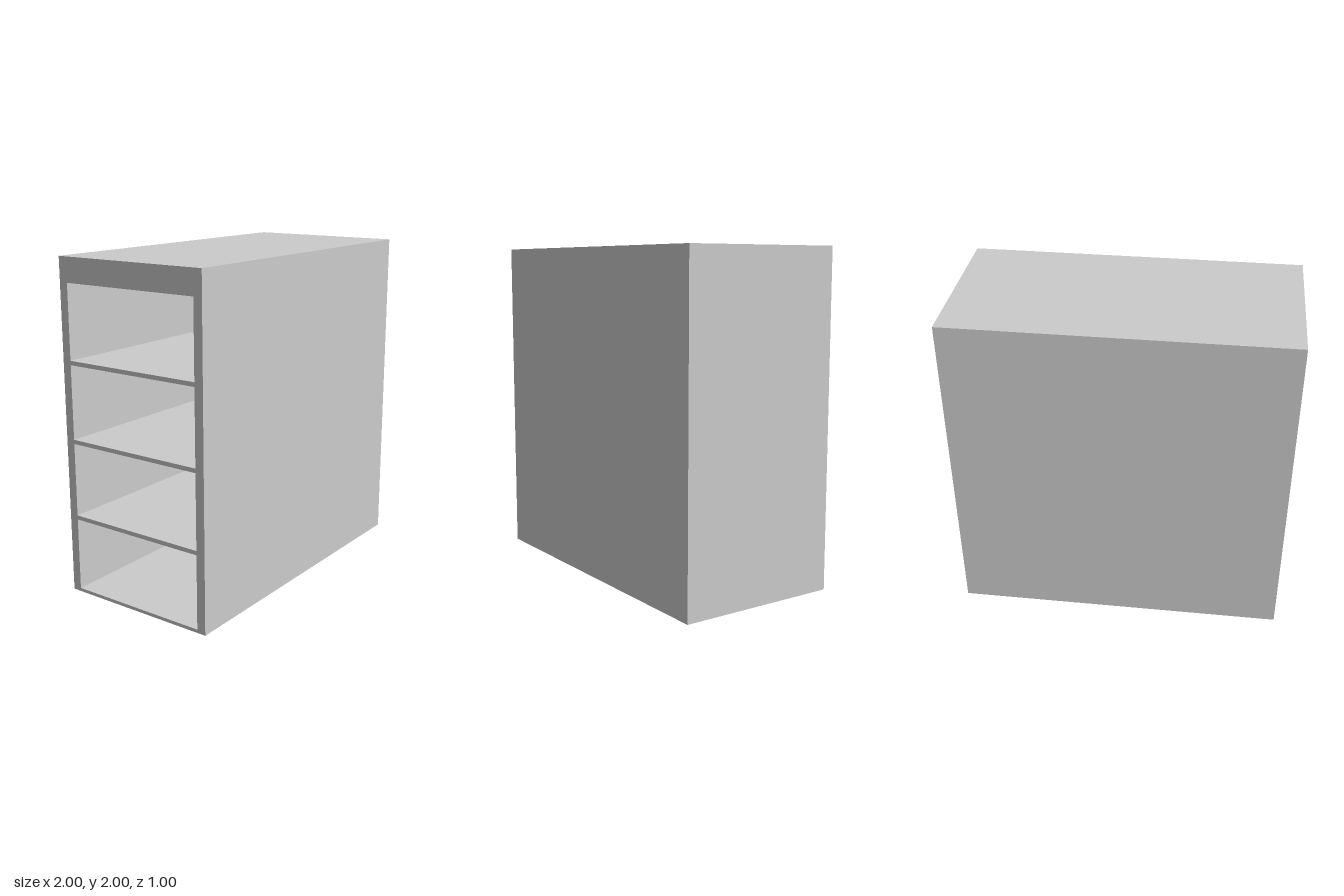
import * as THREE from 'three';

const W = 2, H = 2, D = 1;             // outer size
const WALL = 0.055, BASE = 0.02;       // side walls and bottom board
const CELL_H = 0.44, SHELF = 0.025, CELLS = 4;
const CELL_D = D - 2 * WALL, CELL_W = W - WALL;

const cellBottoms = Array.from({ length: CELLS }, (_, i) => BASE + i * (CELL_H + SHELF));

// Box without its -x face, seen from outside or (inward) from inside
function openBox(w, h, d, inward) {
  const geo = new THREE.BoxGeometry(w, h, d);
  const idx = Array.from(geo.index.array);
  idx.splice(6, 6);
  if (inward) {
    idx.reverse();
    const n = geo.attributes.normal;
    for (let i = 0; i < n.count; i++) n.setXYZ(i, -n.getX(i), -n.getY(i), -n.getZ(i));
  }
  geo.setIndex(idx);
  geo.clearGroups();
  return geo;
}

// Rectangle outline in the (z, y) plane
function rect(path, z0, y0, z1, y1) {
  path.moveTo(z0, y0);
  path.lineTo(z1, y0);
  path.lineTo(z1, y1);
  path.lineTo(z0, y1);
  path.closePath();
  return path;
}

export function createModel() {
  const group = new THREE.Group();
  group.name = 'shelfCabinet';
  const material = new THREE.MeshStandardMaterial({ color: 0xcccccc });
  const add = (name, geo, x, y, z) => {
    const mesh = new THREE.Mesh(geo, material);
    mesh.name = name;
    mesh.position.set(x, y, z);
    group.add(mesh);
  };

  // Outer casing, open on the shelf side
  add('casing', openBox(W, H, D, false), 0, H / 2, 0);

  // Frame around the shelf openings
  const frame = rect(new THREE.Shape(), -D / 2, 0, D / 2, H);
  for (const y of cellBottoms) {
    frame.holes.push(rect(new THREE.Path(), -CELL_D / 2, y, CELL_D / 2, y + CELL_H));
  }
  add('openingFrame', new THREE.ShapeGeometry(frame).rotateY(-Math.PI / 2), -W / 2, 0, 0);

  // Compartments between the shelves
  cellBottoms.forEach((y, i) => {
    add(`compartment${i + 1}`, openBox(CELL_W, CELL_H, CELL_D, true), -WALL / 2, y + CELL_H / 2, 0);
  });

  return group;
}
